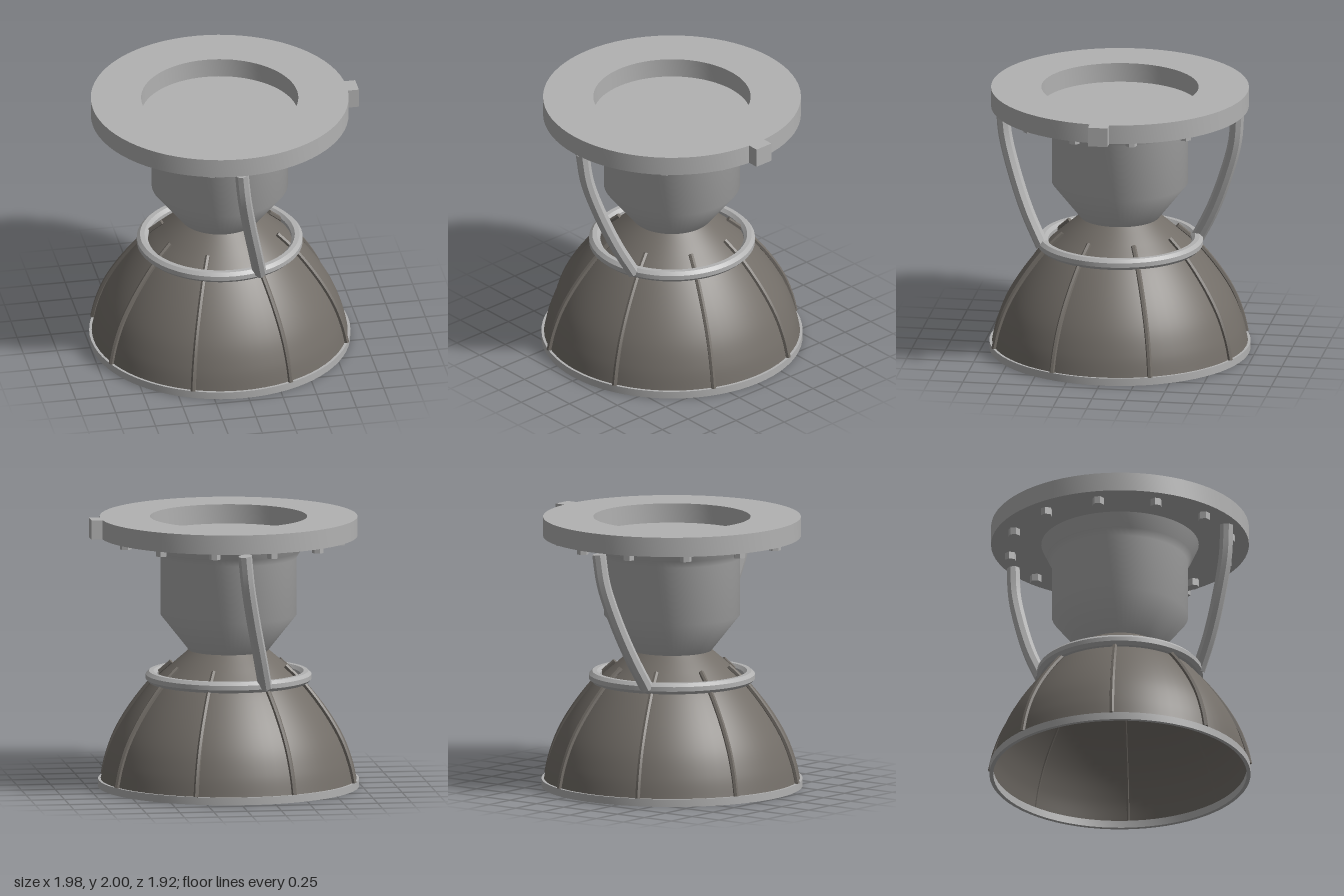
import * as THREE from 'three';
import { toCreasedNormals } from 'three/addons/utils/BufferGeometryUtils.js';

const CREASE = 0.75;
const v2 = (p) => new THREE.Vector2(p[0], p[1]);

export function createModel() {
  const steel = new THREE.MeshStandardMaterial({ color: 0xb2b2b2, side: THREE.DoubleSide });
  steel.name = 'light steel';
  const dark = new THREE.MeshStandardMaterial({ color: 0x736e68, side: THREE.DoubleSide });
  dark.name = 'dark warm metal';

  const model = new THREE.Group();
  model.name = 'rocketEngine';
  const axis = new THREE.Group(); // everything turns about this off-centre axis
  axis.name = 'engineAxis';
  axis.position.x = -0.035;
  model.add(axis);

  const add = (name, geometry, material, parent = axis) => {
    const mesh = new THREE.Mesh(geometry, material);
    mesh.name = name;
    parent.add(mesh);
    return mesh;
  };
  // Turned part; points run up the outside
  const turned = (points, segments = 72) =>
    toCreasedNormals(new THREE.LatheGeometry(points.map(v2), segments), CREASE);
  const band = (inner, outer, y0, y1) =>
    turned([[inner, y0], [outer, y0], [outer, y1], [inner, y1], [inner, y0]]);

  // Faceted bar along a curve, closed at both ends
  const bar = (name, curve, steps, radius, sides, material) => {
    const group = new THREE.Group();
    group.name = name;
    const tube = new THREE.TubeGeometry(curve, steps, radius, sides);
    add(name + 'Shaft', toCreasedNormals(tube, CREASE), material, group);
    const frames = curve.computeFrenetFrames(steps);
    [0, 1].forEach((t) => {
      const i = t * steps;
      const cap = add(name + 'End', new THREE.CircleGeometry(radius, sides), material, group);
      const out = frames.tangents[i].clone().multiplyScalar(t ? 1 : -1);
      const n = frames.normals[i].clone().negate();
      cap.matrixAutoUpdate = true;
      cap.quaternion.setFromRotationMatrix(
        new THREE.Matrix4().makeBasis(n, out.clone().cross(n), out));
      cap.position.copy(curve.getPointAt(t));
    });
    axis.add(group);
    return group;
  };

  // Mounting flange with its alignment tab
  add('mountingFlange', band(0.577, 0.946, 1.857, 2), steel);
  const tab = add('alignmentTab', new THREE.BoxGeometry(0.1, 0.143, 0.145), steel);
  tab.position.set(0.975, 1.9285, 0);

  // Twelve hex bolts under the flange
  const boltGeometry = toCreasedNormals(new THREE.CylinderGeometry(0.043, 0.043, 0.055, 6), CREASE);
  for (let i = 0; i < 12; i++) {
    const a = ((i + 0.5) * Math.PI) / 6;
    const bolt = add('flangeBolt', boltGeometry, steel);
    bolt.position.set(0.82 * Math.cos(a), 1.83, 0.82 * Math.sin(a));
    bolt.rotation.y = -a;
  }

  // Combustion chamber, closed at the top to floor the flange recess
  add('chamber', turned([[0, 1.01], [0.29, 1.01], [0.5, 1.275], [0.5, 1.7],
    [0.53, 1.75], [0.578, 1.857], [0, 1.857]]), steel);

  // Bell nozzle
  const bell = new THREE.SplineCurve([[0.94, 0.05], [0.905, 0.2], [0.835, 0.38],
    [0.72, 0.57], [0.565, 0.765], [0.42, 0.9], [0.29, 1.012]].map(v2));
  add('nozzleBell', new THREE.LatheGeometry(bell.getPoints(36), 72), dark);
  add('nozzleRim', band(0.93, 0.958, 0, 0.056), steel);

  // Eight ribs following the bell
  const ribProfile = bell.getPoints(36).filter((p) => p.y < 0.92);
  for (let i = 0; i < 8; i++) {
    const a = ((i + 0.5) * Math.PI) / 4;
    const path = new THREE.CatmullRomCurve3(ribProfile.map((p) =>
      new THREE.Vector3((p.x + 0.012) * Math.cos(a), p.y + 0.005, (p.x + 0.012) * Math.sin(a))));
    bar('nozzleRib', path, 28, 0.019, 6, dark);
  }

  // Octagonal collar around the bell
  const collar = [];
  for (let i = 0; i <= 8; i++) {
    const a = ((i + 0.5) * Math.PI) / 4;
    collar.push([0.568 + 0.044 * Math.cos(a), 0.815 + 0.044 * Math.sin(a)]);
  }
  add('collarRing', turned(collar), steel);

  // Two curved struts, half a turn apart
  const strutPath = new THREE.CatmullRomCurve3([[0, 1.835, 0.872], [0.025, 1.61, 0.85],
    [0.075, 1.34, 0.775], [0.14, 1.05, 0.665], [0.195, 0.81, 0.545]]
    .map((p) => new THREE.Vector3(...p)));
  for (let i = 0; i < 2; i++) {
    bar('strut', strutPath, 20, 0.051, 8, steel).rotation.y = i * Math.PI;
  }

  return model;
}
